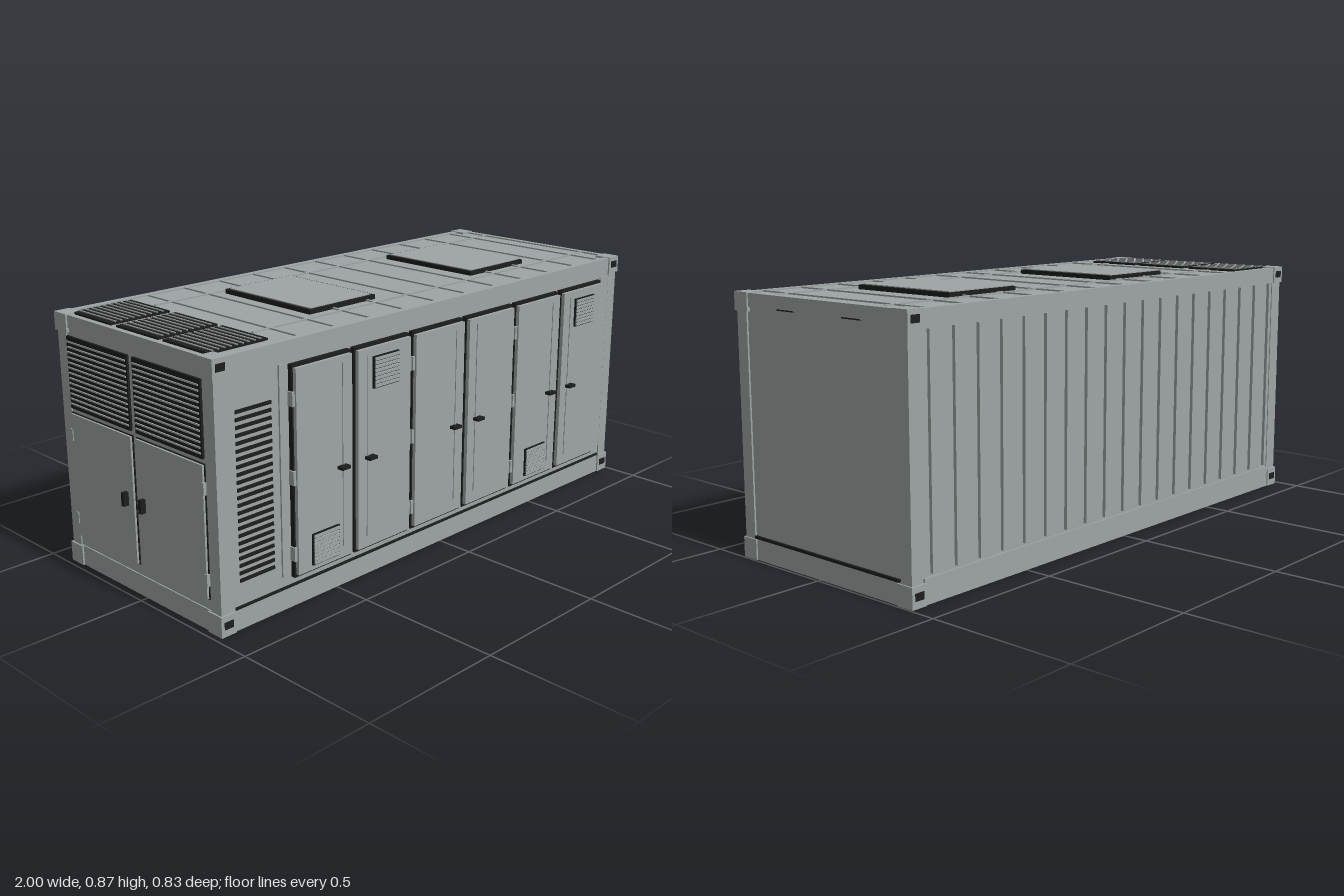
import * as THREE from 'three';

export function createModel() {
  const root = new THREE.Group();
  root.name = 'equipmentContainer';
  const grey = new THREE.MeshStandardMaterial({ color: 0x9ea5a4 });
  grey.name = 'greyPaint';
  const black = new THREE.MeshStandardMaterial({ color: 0x1c1e1e });
  black.name = 'blackTrim';

  let parent = root;
  const group = (name) => {
    parent = new THREE.Group();
    parent.name = name;
    root.add(parent);
  };
  // Box given by its minimum and maximum on each axis
  const box = (name, mat, x0, x1, y0, y1, z0, z1) => {
    const mesh = new THREE.Mesh(new THREE.BoxGeometry(x1 - x0, y1 - y0, z1 - z0), mat);
    mesh.position.set((x0 + x1) / 2, (y0 + y1) / 2, (z0 + z1) / 2);
    mesh.name = name;
    parent.add(mesh);
  };

  // Shell and frame
  group('shell');
  box('body', grey, -0.97, 0.984, 0.004, 0.853, -0.402, 0.363);
  box('rightBottomRail', grey, -0.925, 0.94, 0, 0.07, 0.35, 0.368);
  box('frontTopRail', grey, -0.925, 0.94, 0.80, 0.858, 0.345, 0.368);
  box('backBottomRail', grey, -0.925, 0.94, 0, 0.08, -0.408, -0.39);
  box('backTopRail', grey, -0.925, 0.94, 0.80, 0.858, -0.408, -0.385);
  for (const [x0, x1] of [[-0.974, -0.955], [0.97, 0.99]]) {
    box('endBottomRail', grey, x0, x1, 0, 0.07, -0.36, 0.32);
    box('endTopRail', grey, x0, x1, 0.815, 0.858, -0.36, 0.32);
  }
  for (const [x0, x1] of [[-0.974, -0.92], [0.945, 0.99]])
    for (const [z0, z1] of [[0.32, 0.367], [-0.406, -0.36]])
      box('cornerPost', grey, x0, x1, 0.06, 0.81, z0, z1);

  // Corner castings with dark lifting holes
  group('cornerCastings');
  for (const [x0, x1] of [[-0.98, -0.923], [0.938, 0.995]])
    for (const [y0, y1] of [[0, 0.068], [0.80, 0.86]]) {
      const x = (x0 + x1) / 2, y = (y0 + y1) / 2 + 0.002;
      for (const [z0, z1, hole] of [[0.31, 0.373, 0.373], [-0.412, -0.348, -0.412]]) {
        box('casting', grey, x0, x1, y0, y1, z0, z1);
        box('castingHole', black, x - 0.017, x + 0.017, y - 0.012, y + 0.012, hole - 0.002, hole + 0.002);
      }
    }

  // Dark sealing lines
  group('seals');
  box('frontSeal', black, -0.92, 0.94, 0.069, 0.076, 0.36, 0.37);
  box('endSeal', black, 0.98, 0.992, 0.07, 0.079, -0.355, 0.32);
  for (const z of [0.13, -0.17])
    box('endTopSeal', black, 0.98, 0.991, 0.813, 0.817, z - 0.04, z + 0.04);

  // Corrugated back wall
  group('backRibs');
  for (let i = 0; i < 19; i++) {
    const x = -0.895 + i * 0.1;
    box('backRib', grey, x - 0.008, x + 0.008, 0.09, 0.80, -0.413, -0.40);
  }

  // Front intake louvre and side trims
  group('frontLouvre');
  for (let i = 0; i < 23; i++) {
    const y = 0.157 + i * 0.024;
    box('louvreSlot', black, -0.897, -0.76, y - 0.0055, y + 0.0055, 0.36, 0.367);
  }
  box('frontTrim', grey, -0.73, -0.712, 0.11, 0.79, 0.36, 0.369);
  box('frontEndPanel', grey, 0.893, 0.943, 0.11, 0.79, 0.36, 0.368);

  // Six front doors; the handle side is +1 (towards +x) or -1
  const doors = [
    [-0.69, -0.447, 1, 'low', -0.573], [-0.43, -0.182, -1, 'high', -0.305],
    [-0.165, 0.083, 1], [0.10, 0.348, -1],
    [0.365, 0.613, 1, 'low', 0.488], [0.63, 0.878, -1, 'high', 0.755],
  ];
  for (const [x0, x1, side, vent, vx] of doors) {
    group('frontDoor');
    box('doorGasket', black, x0, x1, 0.10, 0.785, 0.36, 0.379);
    box('doorPanel', grey, x0 + 0.005, x1 - 0.005, 0.111, 0.775, 0.37, 0.392);
    const edge = side > 0 ? x1 : x0, hinge = side > 0 ? x0 : x1;
    const rod = edge - side * 0.045;
    box('lockRod', grey, rod - 0.003, rod + 0.003, 0.15, 0.755, 0.39, 0.395);
    const hx = edge - side * 0.052;
    box('doorHandle', black, hx - 0.018, hx + 0.018, 0.415, 0.425, 0.39, 0.415);
    for (const y of [0.18, 0.43, 0.68])
      box('doorHinge', grey, hinge - 0.005, hinge + 0.005, y - 0.023, y + 0.023, 0.365, 0.386);
    if (vent) {
      const y0 = vent === 'low' ? 0.128 : 0.642;
      box('ventBacking', black, vx - 0.057, vx + 0.057, y0, y0 + 0.104, 0.38, 0.399);
      for (let i = 0; i < 8; i++) {
        const y = y0 + 0.0035 + i * 0.0125;
        box('ventSlat', grey, vx - 0.054, vx + 0.054, y, y + 0.0095, 0.395, 0.403);
      }
    }
  }

  // Roof ribs, hatches and exhaust grilles
  group('roofRibs');
  for (let i = 0; i < 11; i++) {
    const x = -0.63 + i * 0.153;
    box('roofCrossRib', grey, x - 0.005, x + 0.005, 0.85, 0.858, -0.39, 0.35);
  }
  for (const z of [0.22, -0.26])
    box('roofLongRib', grey, -0.70, 0.975, 0.85, 0.858, z - 0.004, z + 0.004);
  group('roofHatches');
  for (const x of [-0.28, 0.505]) {
    box('hatchFrame', black, x - 0.148, x + 0.148, 0.85, 0.868, -0.233, 0.18);
    box('hatchLid', grey, x - 0.137, x + 0.137, 0.86, 0.871, -0.222, 0.169);
  }
  group('roofGrilles');
  for (const [z0, z1] of [[-0.362, -0.155], [-0.125, 0.082], [0.105, 0.312]]) {
    box('roofGrille', black, -0.945, -0.72, 0.85, 0.86, z0, z1);
    for (let i = 1; i < 10; i++) {
      const x = -0.945 + i * 0.0225;
      box('roofGrilleSlat', grey, x - 0.0022, x + 0.0022, 0.858, 0.863, z0 + 0.004, z1 - 0.004);
    }
  }

  // Left-hand service end: louvres above a pair of doors
  group('serviceEnd');
  for (const [z0, z1] of [[-0.355, -0.035], [-0.01, 0.312]]) {
    box('endLouvre', black, -0.978, -0.96, 0.55, 0.79, z0, z1);
    for (let i = 1; i < 14; i++) {
      const y = 0.55 + i * 0.0171;
      box('endLouvreSlat', grey, -0.982, -0.975, y - 0.0025, y + 0.0025, z0 + 0.006, z1 - 0.006);
    }
    box('endDoorGasket', black, -0.974, -0.96, 0.105, 0.535, z0 - 0.004, z1 + 0.004);
    box('endDoor', grey, -0.981, -0.965, 0.108, 0.532, z0, z1);
    const hingeZ = z0 < -0.2 ? z0 : z1;
    for (const y of [0.17, 0.46])
      box('endDoorHinge', grey, -0.984, -0.965, y - 0.02, y + 0.02, hingeZ - 0.006, hingeZ + 0.006);
  }
  for (const z of [-0.068, 0.02])
    box('endDoorHandle', black, -1, -0.975, 0.30, 0.345, z - 0.007, z + 0.007);

  return root;
}
